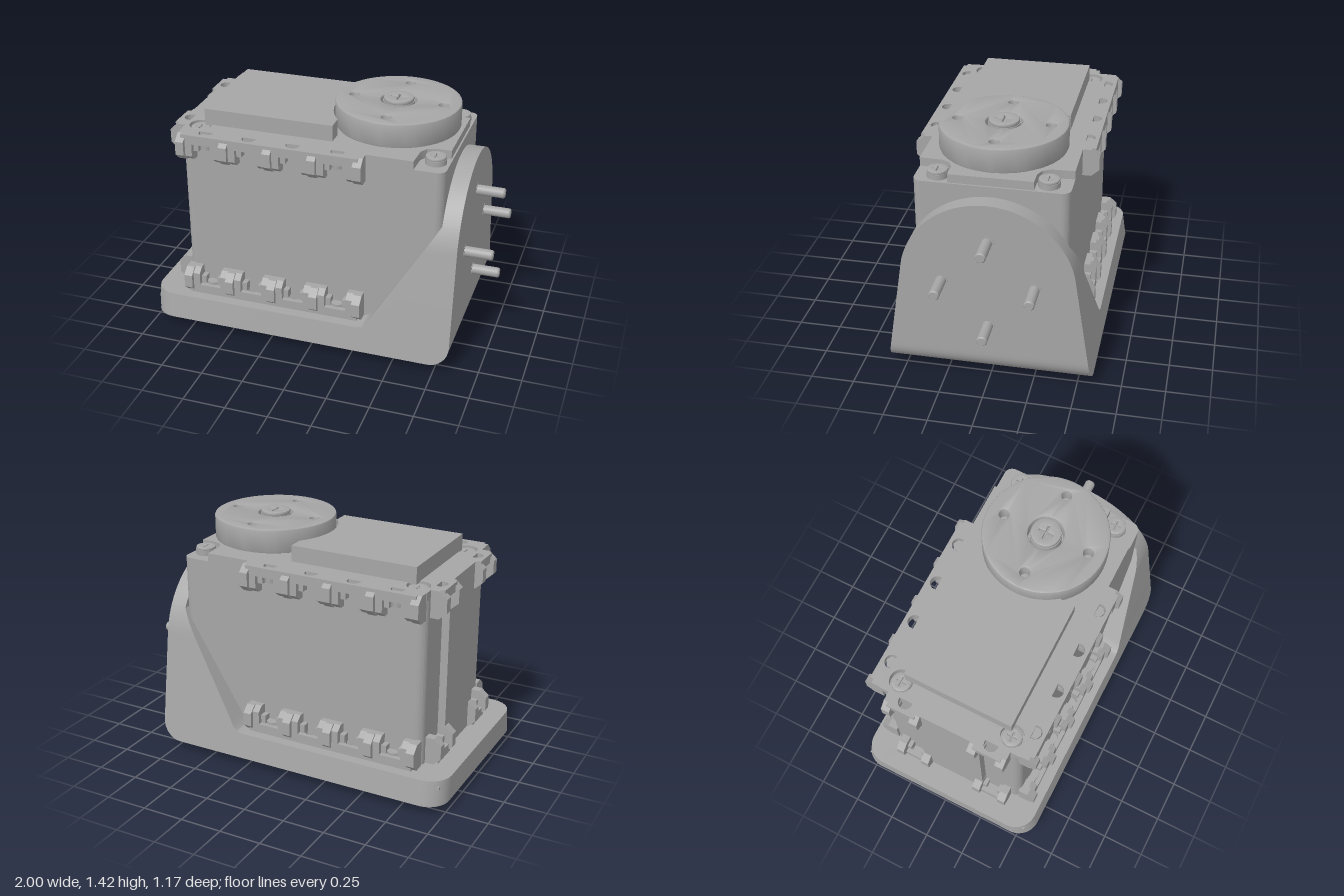
import * as THREE from 'three';
import { toCreasedNormals } from 'three/addons/utils/BufferGeometryUtils.js';

const grey = new THREE.MeshStandardMaterial({ color: 0xa6a6a6, side: THREE.DoubleSide });
grey.name = 'plain grey';

function add(parent, name, geo, x = 0, y = 0, z = 0) {
  const m = new THREE.Mesh(geo, grey);
  m.name = name;
  m.position.set(x, y, z);
  parent.add(m);
  return m;
}
const box = (w, h, d) => new THREE.BoxGeometry(w, h, d);
const cyl = (r, h, n = 32) => new THREE.CylinderGeometry(r, r, h, n);
const poly = pts => new THREE.Shape(pts.map(p => new THREE.Vector2(p[0], p[1])));
const circle = (x, y, r) => new THREE.Path().absarc(x, y, r, 0, Math.PI * 2);

// Plan shape extruded upward from y = 0
function slab(shape, h, bevel = 0) {
  const g = new THREE.ExtrudeGeometry(shape, {
    depth: h - 2 * bevel, curveSegments: 24, bevelEnabled: bevel > 0,
    bevelSize: bevel, bevelThickness: bevel, bevelSegments: 2,
  });
  g.translate(0, 0, bevel).rotateX(-Math.PI / 2);
  return toCreasedNormals(g, 0.5);
}

function roundRect(x0, x1, hz, r) {
  const s = new THREE.Shape(), q = Math.PI / 2;
  s.absarc(x1 - r, hz - r, r, 0, q);
  s.absarc(x0 + r, hz - r, r, q, 2 * q);
  s.absarc(x0 + r, r - hz, r, 2 * q, 3 * q);
  s.absarc(x1 - r, r - hz, r, 3 * q, 4 * q);
  return s;
}

// Half-width of the bracket at a given height: taper, then round top
const halfWidth = y => y < 0.714 ? 0.587 - 0.153 * (y - 0.05)
  : Math.sqrt(Math.max(0, 0.492 ** 2 - (y - 0.638) ** 2));
const rightEdge = y => y < 0.17 ? 0.715 + Math.sqrt(0.12 ** 2 - (0.17 - y) ** 2) : 0.835;

// Bracket built from horizontal cross-sections
function bracketGeometry() {
  const levels = [];
  for (let i = 0; i <= 8; i++) levels.push([0.17 - 0.12 * Math.cos(i / 8 * Math.PI / 2), -1, 0.13]);
  levels.push([0.2, -1, 0.13], [0.2, 0.29, 0], [0.21, 0.32, 0], [0.235, 0.345, 0], [0.27, 0.365, 0]);
  const gusset = y => Math.min(0.735, 0.365 + (y - 0.27) * 0.37 / 0.6);
  const ys = [0.87];
  for (let i = 0; i <= 20; i++) ys.push(0.638 + 0.492 * Math.sin(0.155 + i / 20 * (Math.PI / 2 - 0.155)));
  ys.sort((a, b) => a - b).forEach(y => levels.push([y, gusset(y), 0]));
  const pos = [], idx = [], N = 6, count = 2 + 2 * (N + 1);
  for (const [y, xl, r] of levels) {
    const h = halfWidth(y), xr = rightEdge(y);
    pos.push(xr, y, h, xr, y, -h);
    for (const s of [-1, 1]) for (let i = 0; i <= N; i++) {
      const a = (s < 0 ? N - i : i) / N * Math.PI / 2;
      const c = s < 0 ? a : Math.PI / 2 - a;
      const k = s < 0 ? c : Math.PI / 2 - a;
      const t = s < 0 ? k : Math.PI / 2 - a;
      pos.push(xl + r - r * Math.cos(t), y, s * (h - r + r * Math.sin(t)));
    }
  }
  // Left corner arcs run back to front
  const ring = [0, 1];
  for (let i = 0; i <= N; i++) ring.push(2 + i);
  for (let i = 0; i <= N; i++) ring.push(2 + 2 * N + 1 - (N - i));
  fixArcs(pos, levels, N, count);
  for (let l = 0; l < levels.length - 1; l++) for (let i = 0; i < count; i++) {
    const j = (i + 1) % count, a = l * count + ring[i], b = l * count + ring[j];
    idx.push(a, b, b + count, a, b + count, a + count);
  }
  const g = new THREE.BufferGeometry();
  g.setAttribute('position', new THREE.Float32BufferAttribute(pos, 3));
  g.setIndex(idx);
  return toCreasedNormals(g, 0.45);
}
// Lay the corner arc points in order: back corner, then front corner
function fixArcs(pos, levels, N, count) {
  levels.forEach(([y, xl, r], l) => {
    const h = halfWidth(y);
    for (let i = 0; i <= 2 * N + 1; i++) {
      const front = i > N;
      const t = (front ? i - N - 1 : N - i) / N * Math.PI / 2;
      const o = (l * count + 2 + i) * 3;
      pos[o] = xl + r - r * Math.cos(t);
      pos[o + 2] = (front ? 1 : -1) * (h - r + r * Math.sin(t));
    }
  });
}

// Cross-recess screw, head top at y = 0
function screw(parent, name, r, h, x, y, z) {
  const g = new THREE.Group(), a = r * 0.13, b = r * 0.55;
  g.name = name;
  const s = new THREE.Shape().absarc(0, 0, r * 0.88, 0, Math.PI * 2);
  s.holes.push(poly([[a, a], [b, a], [b, -a], [a, -a], [a, -b], [-a, -b], [-a, -a], [-b, -a],
    [-b, a], [-a, a], [-a, b], [a, b]]));
  add(g, 'crossHead', slab(s, r * 0.3, r * 0.08), 0, -r * 0.3, 0);
  add(g, 'headBase', cyl(r, h - r * 0.25), 0, -r * 0.25 - (h - r * 0.25) / 2, 0);
  g.position.set(x, y, z);
  parent.add(g);
}

// Mounting rail along x, sticking out toward -z, bays open underneath
function rail(parent, name, bays, pitch, x, y, z, turn, flip) {
  const g = new THREE.Group();
  g.name = name;
  const along = (pts, w) => new THREE.ExtrudeGeometry(poly(pts), { depth: w, bevelEnabled: false })
    .translate(0, 0, -w / 2).rotateY(Math.PI / 2);
  const lug = along([[-0.01, -0.08], [0.05, -0.08], [0.095, -0.04], [0.095, 0.04], [0.05, 0.08], [-0.01, 0.08]], 0.05);
  const side = along([[-0.01, -0.08], [0.035, -0.08], [0.072, -0.05], [0.072, 0.025], [-0.01, 0.025]], pitch / 2 - 0.065);
  const s = new THREE.Shape();
  s.moveTo(-pitch / 2, 0).lineTo(-0.04, 0).absarc(0, 0.01, 0.04, Math.PI, 0, true);
  s.lineTo(0.04, 0).lineTo(pitch / 2, 0).lineTo(pitch / 2, 0.072).lineTo(-pitch / 2, 0.072);
  const plate = slab(s, 0.055);
  for (let i = 0; i <= bays; i++) {
    const lx = (i - bays / 2) * pitch;
    add(g, 'lug', lug, lx, 0, 0);
    if (i === bays) break;
    const c = lx + pitch / 2;
    add(g, 'bayPlate', plate, c, 0.025, 0);
    for (const d of [-1, 1]) {
      add(g, 'bayCheek', side, c + d * (pitch / 4 + 0.0325), 0, 0);
      add(g, 'nutSeat', box(0.03, 0.05, 0.05), c + d * 0.05, 0, -0.02);
    }
  }
  g.position.set(x, y, z);
  g.rotation.y = turn;
  g.scale.y = flip;
  parent.add(g);
}

export function createModel() {
  const model = new THREE.Group();
  model.name = 'servoInBracket';

  // Bracket with its pierced underside
  const bracket = new THREE.Group();
  bracket.name = 'bracket';
  model.add(bracket);
  add(bracket, 'bracketShell', bracketGeometry());
  const under = new THREE.Shape(), q = Math.PI / 2;
  under.moveTo(0.715, -0.587).lineTo(0.715, 0.587);
  under.absarc(-0.87, 0.457, 0.13, q, 2 * q).absarc(-0.87, -0.457, 0.13, 2 * q, 3 * q);
  const bolts = [[-0.65, 0.44], [-0.65, -0.44], [0.135, 0.44], [0.135, -0.44]];
  bolts.forEach(b => under.holes.push(circle(b[0], b[1], 0.085)));
  under.holes.push(circle(0.355, 0, 0.29));
  under.holes.push(poly([[-0.38, -0.37], [-0.13, -0.37], [-0.13, 0.37], [-0.38, 0.37]]));
  const underGeo = slab(under, 0.1), p = underGeo.attributes.position;
  for (let i = 0; i < p.count; i++) if (p.getY(i) > 0.05) p.setXYZ(i, p.getX(i) * 0.985, 0.1, p.getZ(i) * 0.96);
  add(bracket, 'underside', underGeo, 0, 0.05, 0);
  add(bracket, 'innerFloor', box(1.66, 0.02, 1.08), -0.14, 0.158, 0);
  const dish = [[0.29, 0.05], [0.25, 0.055], [0.22, 0.07], [0.2, 0.095], [0.195, 0.14]];
  add(bracket, 'roundedOpening', new THREE.LatheGeometry(dish.map(d => new THREE.Vector2(...d)), 48), 0.355, 0, 0);
  add(bracket, 'pivotCap', cyl(0.165, 0.06, 48), 0.355, 0.115, 0);
  add(bracket, 'pivotScrew', cyl(0.035, 0.02), 0.355, 0.08, 0);
  for (const z of [-0.16, 0.16]) add(bracket, 'socketBlock', box(0.13, 0.06, 0.27), -0.25, 0.12, z);
  bolts.forEach(([x, z], i) => {
    const head = new THREE.Shape().absarc(0, 0, 0.062, 0, Math.PI * 2);
    head.holes.push(poly([0, 1, 2, 3, 4, 5].map(k => [0.032 * Math.cos(k * Math.PI / 3), 0.032 * Math.sin(k * Math.PI / 3)])));
    const low = i === 0 || i === 3 ? 0 : 0.012;
    add(bracket, 'baseBoltHead', slab(head, 0.06), x, low, z);
    add(bracket, 'baseBolt', cyl(0.04, 0.23), x, 0.155, z);
    add(bracket, 'railNut', cyl(0.036, 0.08, 6), x, 1.185, z);
  });

  // Pins on the upright wall
  for (const [y, z] of [[0.905, 0], [0.64, 0.26], [0.64, -0.26], [0.375, 0]]) {
    add(bracket, 'pinCollar', cyl(0.04, 0.008).rotateZ(-q), 0.833, y, z);
    add(bracket, 'pin', cyl(0.03, 0.22).rotateZ(-q), 0.88, y, z);
    add(bracket, 'pinTip', new THREE.CylinderGeometry(0.024, 0.03, 0.008, 32).rotateZ(-q), 0.994, y, z);
  }

  // Servo case with a top layer notched for the screws
  const servo = new THREE.Group();
  servo.name = 'servo';
  model.add(servo);
  add(servo, 'case', slab(roundRect(-0.81, 0.735, 0.43, 0.05), 1.0), 0, 0.19, 0);
  const top = poly([[-0.81, -0.43], [0.56, -0.43], [0.565, -0.3], [0.59, -0.255], [0.64, -0.235], [0.725, -0.235],
    [0.725, 0.235], [0.64, 0.235], [0.59, 0.255], [0.565, 0.3], [0.56, 0.43], [-0.81, 0.43]]);
  for (const s of [-1, 1]) top.holes.push(circle(-0.725, s * 0.34, 0.066));
  add(servo, 'caseTop', slab(top, 0.05), 0, 1.19, 0);
  add(servo, 'endSpine', box(0.06, 1.04, 0.4), -0.825, 0.72, 0);
  for (const s of [-1, 1]) {
    screw(servo, 'rearScrew', 0.058, 0.05, -0.725, 1.232, s * 0.34);
    screw(servo, 'frontScrew', 0.06, 0.05, 0.655, 1.236, s * 0.305);
  }

  // Raised cover, hollowed around the horn
  const cover = new THREE.Shape();
  const a0 = Math.asin(0.23 / 0.37);
  cover.moveTo(-0.705, -0.325).lineTo(0.065, -0.325);
  cover.absarc(0.355, 0, 0.37, Math.PI + a0, Math.PI - a0, true);
  cover.lineTo(0.065, 0.325).lineTo(-0.705, 0.325);
  add(servo, 'cover', slab(cover, 0.1), 0, 1.235, 0);

  // Output horn
  const horn = new THREE.Group();
  horn.name = 'horn';
  horn.position.set(0.355, 0, 0);
  model.add(horn);
  const disc = new THREE.Shape().absarc(0, 0, 0.35, 0, Math.PI * 2);
  disc.holes.push(circle(0, 0, 0.112));
  for (let i = 0; i < 4; i++) disc.holes.push(circle(0.262 * Math.cos(i * q), 0.262 * Math.sin(i * q), 0.038));
  add(horn, 'hornDisc', slab(disc, 0.143, 0.01), 0, 1.262, 0);
  add(horn, 'hornBack', cyl(0.335, 0.05, 48), 0, 1.29, 0);
  add(horn, 'hornHub', cyl(0.145, 0.05, 48), 0, 1.255, 0);
  screw(horn, 'hornScrew', 0.09, 0.1, 0, 1.422, 0);

  // Mounting rails on both sides and the rear end, top and bottom
  for (const [y, flip] of [[1.16, 1], [0.28, -1]]) {
    rail(servo, 'backRail', 4, 0.262, -0.258, y, -0.43, 0, flip);
    rail(servo, 'frontRail', 4, 0.262, -0.258, y, 0.43, Math.PI, flip);
    for (const s of [-1, 1]) rail(servo, 'endRail', 1, 0.17, -0.81, y, s * 0.262, q, flip);
  }
  return model;
}
